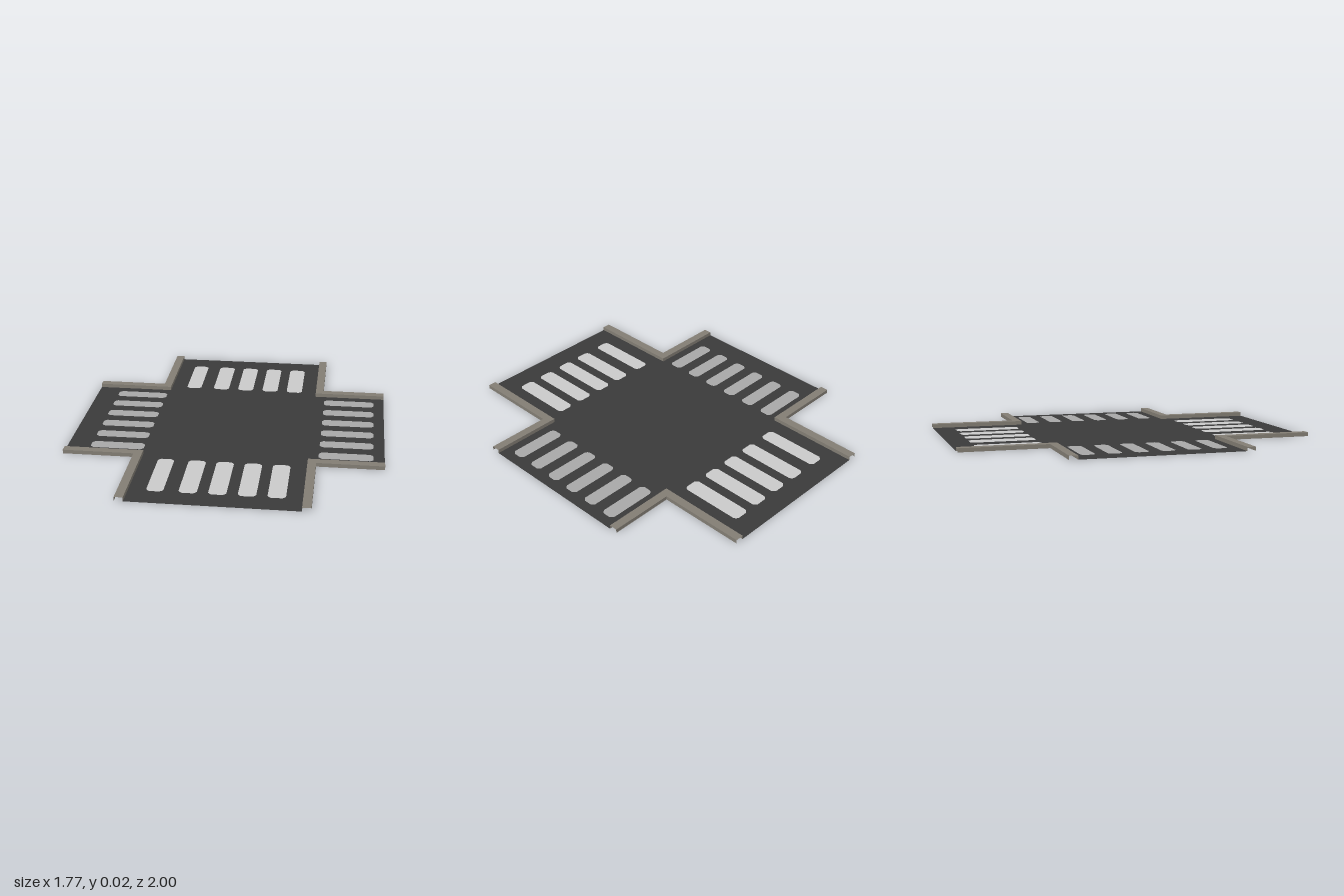
import * as THREE from 'three';

const material = (name, color) =>
  Object.assign(new THREE.MeshStandardMaterial({ color, side: THREE.DoubleSide }), { name });

const HEIGHT = 0.022, KERB = 0.047;
const END_X = 0.883, END_Z = 1;
// road edges where the kerbs begin
const WEST = -0.44, EAST = 0.467, NORTH = -0.46, SOUTH = 0.45;

// flat outline from [x, z] points; shape y is -z until it is laid down
const outline = (points) => points.map(([x, z]) => new THREE.Vector2(x, -z));

function layFlat(shapes, mat, name) {
  const mesh = new THREE.Mesh(new THREE.ShapeGeometry(shapes).rotateX(-Math.PI / 2), mat);
  mesh.name = name;
  return mesh;
}

// painted bar with clipped corners
function bar(x0, x1, z0, z1) {
  const a = 0.018, b = 0.008;
  return outline([
    [x0 + a, z0], [x1 - a, z0], [x1 - b, z0 + b], [x1, z0 + a],
    [x1, z1 - a], [x1 - b, z1 - b], [x1 - a, z1], [x0 + a, z1],
    [x0 + b, z1 - b], [x0, z1 - a], [x0, z0 + a], [x0 + b, z0 + b],
  ]);
}

// hollow L-shaped kerb: one section swept along end, corner, end
function kerb(cx, cz, sx, sz, mat, name) {
  const section = [[0, 0], [0, HEIGHT], [KERB, HEIGHT], [KERB, 0]];
  const rows = [0, 1, 2].map((row) => section.map(([out, y]) => [
    row === 2 ? sx * END_X : cx + sx * out,
    y,
    row === 0 ? sz * END_Z : cz + sz * out,
  ]));
  const positions = [];
  for (let r = 0; r < 2; r++) {
    for (let i = 0; i < 3; i++) {
      const a = rows[r][i], b = rows[r][i + 1], c = rows[r + 1][i + 1], d = rows[r + 1][i];
      const corners = sx * sz > 0 ? [a, b, c, a, c, d] : [a, c, b, a, d, c];
      corners.forEach((p) => positions.push(...p));
    }
  }
  const geometry = new THREE.BufferGeometry();
  geometry.setAttribute('position', new THREE.Float32BufferAttribute(positions, 3));
  geometry.computeVertexNormals();
  const mesh = new THREE.Mesh(geometry, mat);
  mesh.name = name;
  return mesh;
}

export function createModel() {
  const asphalt = material('asphalt', 0x3a3a3a);
  const whitePaint = material('whitePaint', 0xcacaca);
  const greyPaint = material('greyPaint', 0xa8a8a8);
  const stone = material('kerbStone', 0x827d74);
  const group = new THREE.Group();
  group.name = 'crossroads';

  // crossing bars on the four arms
  const columns = [[-0.347, -0.257], [-0.178, -0.082], [-0.024, 0.071], [0.13, 0.225], [0.283, 0.378]];
  const crossings = {
    backCrossing: columns.map(([a, b]) => bar(a, b, -0.88, -0.51)),
    frontCrossing: columns.map(([a, b]) => bar(a, b, 0.5, 0.875)),
    rightCrossing: [], leftCrossing: [],
  };
  for (let i = 0; i < 6; i++) {
    const z = -0.41 + i * 0.146;
    crossings.rightCrossing.push(bar(-0.754, -0.452, z, z + 0.079));
    crossings.leftCrossing.push(bar(0.522, 0.823, z, z + 0.079));
  }

  // road surface, cut out where the paint lies flush
  const road = new THREE.Shape(outline([
    [WEST, -END_Z], [EAST, -END_Z], [EAST, NORTH], [END_X, NORTH],
    [END_X, SOUTH], [EAST, SOUTH], [EAST, END_Z], [WEST, END_Z],
    [WEST, SOUTH], [-END_X, SOUTH], [-END_X, NORTH], [WEST, NORTH],
  ]));
  Object.values(crossings).flat().forEach((points) => road.holes.push(new THREE.Path(points)));
  group.add(layFlat(road, asphalt, 'road'));

  for (const [name, bars] of Object.entries(crossings)) {
    const paint = name === 'backCrossing' || name === 'frontCrossing' ? whitePaint : greyPaint;
    group.add(layFlat(bars.map((points) => new THREE.Shape(points)), paint, name));
  }

  // kerbs around the four corners
  group.add(
    kerb(WEST, NORTH, -1, -1, stone, 'backRightKerb'),
    kerb(EAST, NORTH, 1, -1, stone, 'backLeftKerb'),
    kerb(WEST, SOUTH, -1, 1, stone, 'frontRightKerb'),
    kerb(EAST, SOUTH, 1, 1, stone, 'frontLeftKerb'),
  );
  return group;
}
